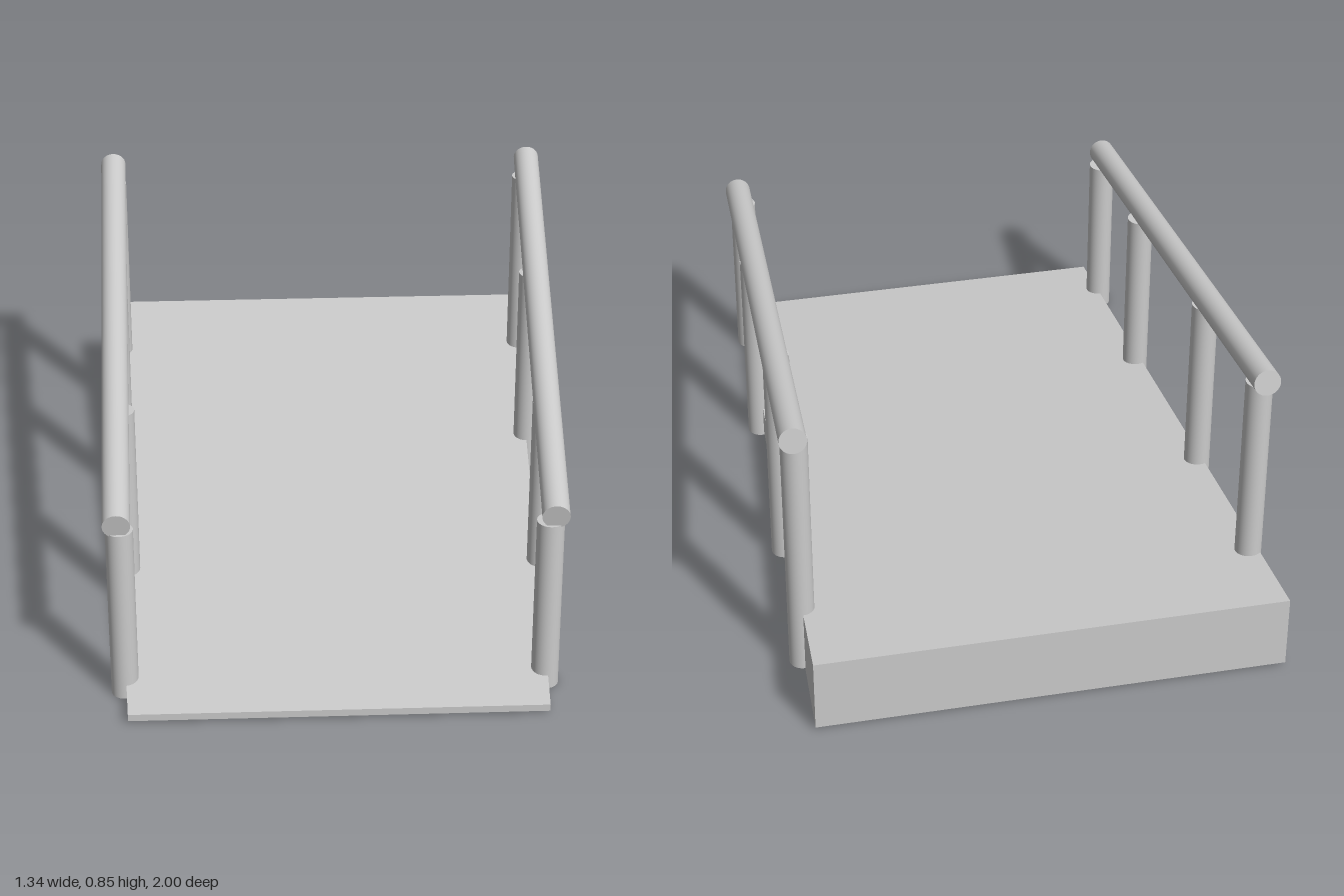
import * as THREE from 'three';

const material = new THREE.MeshStandardMaterial({ color: 0xcccccc });
const RADIUS = 0.037;

// Round bar between two points
function bar(name, from, to) {
  const a = new THREE.Vector3(...from);
  const b = new THREE.Vector3(...to);
  const dir = b.clone().sub(a);
  const mesh = new THREE.Mesh(new THREE.CylinderGeometry(RADIUS, RADIUS, dir.length(), 32), material);
  mesh.position.copy(a).add(b).multiplyScalar(0.5);
  mesh.quaternion.setFromUnitVectors(new THREE.Vector3(0, 1, 0), dir.normalize());
  mesh.name = name;
  return mesh;
}

// Sloping deck: a box whose plan widens and whose top rises toward the back
function deck() {
  const geometry = new THREE.BoxGeometry(1, 1, 2).toNonIndexed();
  const p = geometry.attributes.position;
  for (let i = 0; i < p.count; i++) {
    const back = p.getZ(i) < 0;
    const left = p.getX(i) > 0;
    const top = p.getY(i) > 0;
    p.setX(i, left ? (back ? 0.628 : 0.54) : (back ? -0.672 : -0.585));
    p.setY(i, top ? (back ? 0.228 : 0.03) : 0.01);
  }
  geometry.computeVertexNormals();
  const mesh = new THREE.Mesh(geometry, material);
  mesh.name = 'rampDeck';
  return mesh;
}

// Handrail with its four posts; postX gives each post's x from front to back
function railing(side, frontX, backX, postX) {
  const group = new THREE.Group();
  group.name = side + 'Railing';
  group.add(bar(side + 'Handrail', [frontX, 0.54, 0.877], [backX, 0.809, -0.793]));
  const posts = [[0.845, 0, 0.512], [0.375, 0, 0.605], [-0.235, 0.01, 0.695], [-0.73, 0.018, 0.775]];
  posts.forEach(([z, bottom, top], i) => {
    group.add(bar(side + 'Post' + (i + 1), [postX[i], bottom, z], [postX[i], top, z]));
  });
  return group;
}

export function createModel() {
  const model = new THREE.Group();
  model.name = 'rampWithHandrails';
  model.add(deck());
  model.add(railing('left', 0.55, 0.629, [0.54, 0.574, 0.594, 0.619]));
  model.add(railing('right', -0.601, -0.635, [-0.595, -0.596, -0.624, -0.633]));
  return model;
}
